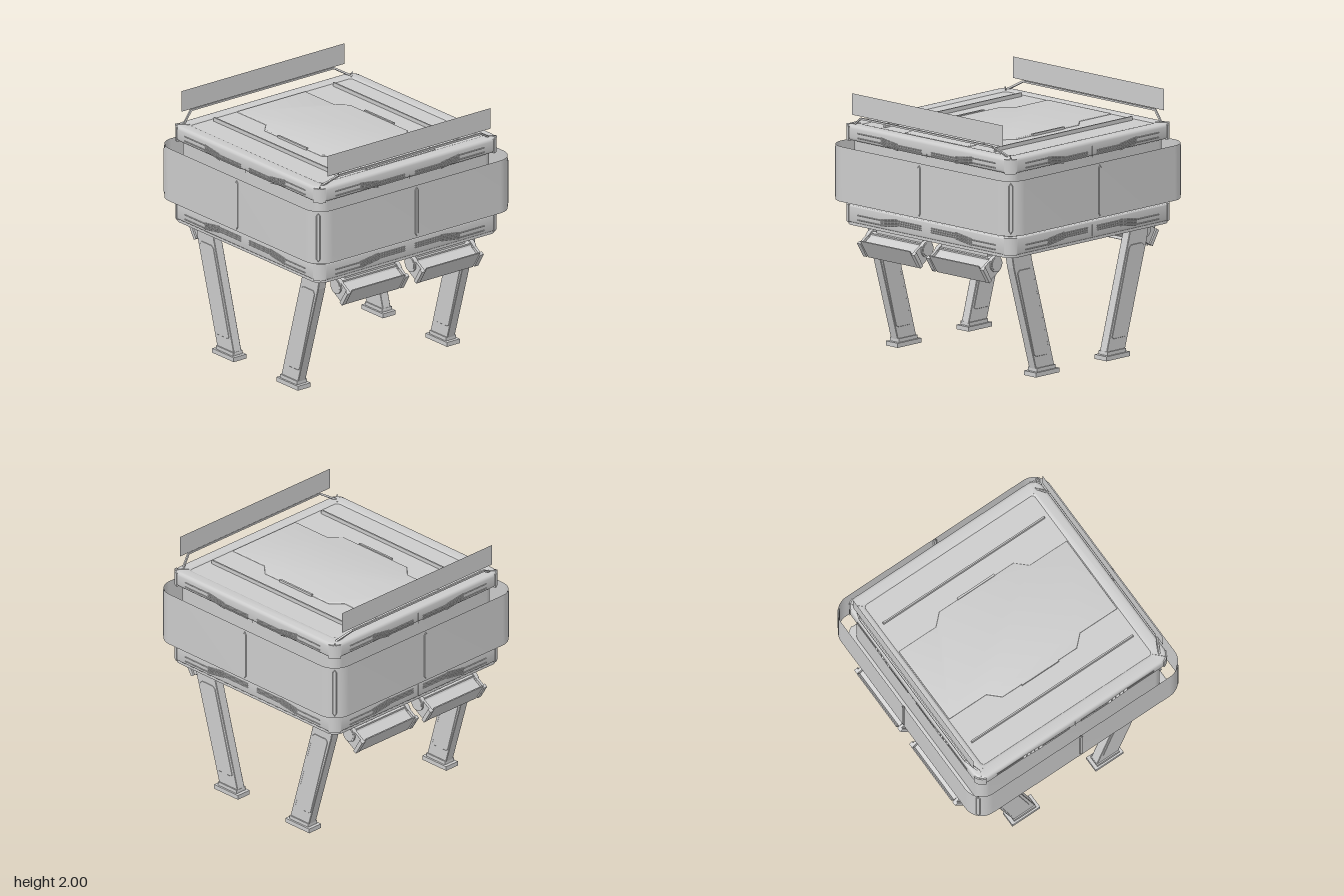
import * as THREE from 'three';
import { toCreasedNormals } from 'three/addons/utils/BufferGeometryUtils.js';

const grey = new THREE.MeshStandardMaterial({ color: 0xcccccc });
const thin = new THREE.MeshStandardMaterial({ color: 0xcccccc, side: THREE.DoubleSide });

function add(parent, name, geometry, x = 0, y = 0, z = 0, material = grey) {
  const mesh = new THREE.Mesh(geometry, material);
  mesh.name = name;
  mesh.position.set(x, y, z);
  parent.add(mesh);
  return mesh;
}
const box = (w, h, d) => new THREE.BoxGeometry(w, h, d);
const polygon = (points, Type = THREE.Shape) => new Type(points.map(([x, y]) => new THREE.Vector2(x, y)));

// rounded square outline of half size h and corner radius r
function roundedSquare(h, r, Type = THREE.Shape) {
  const s = new Type(), c = h - r;
  s.absarc(c, c, r, 0, Math.PI / 2);
  s.absarc(-c, c, r, Math.PI / 2, Math.PI);
  s.absarc(-c, -c, r, Math.PI, Math.PI * 1.5);
  s.absarc(c, -c, r, Math.PI * 1.5, Math.PI * 2);
  s.closePath();
  return s;
}

// horizontal slab between y0 and y1
function slab(shape, y0, y1, bevel = 0) {
  const g = new THREE.ExtrudeGeometry(shape, {
    depth: y1 - y0 - 2 * bevel, curveSegments: 8, bevelEnabled: bevel > 0,
    bevelThickness: bevel, bevelSize: bevel, bevelOffset: -bevel, bevelSegments: 3,
  });
  g.rotateX(-Math.PI / 2);
  g.translate(0, y0 + bevel, 0);
  return toCreasedNormals(g, 0.6);
}
function pierced(shape, hole) {
  shape.holes.push(hole);
  return shape;
}

// side profile given as [z, y], extruded across x and centred
function profile(points, width, bevel) {
  const g = new THREE.ExtrudeGeometry(polygon(points), {
    depth: width - 2 * bevel, bevelThickness: bevel,
    bevelSize: bevel, bevelOffset: -bevel, bevelSegments: 1,
  });
  g.translate(0, 0, -width / 2 + bevel);
  g.rotateY(-Math.PI / 2);
  return g;
}

// square bar between two points
function rod(parent, name, a, b, t) {
  const p = new THREE.Vector3(...a), q = new THREE.Vector3(...b);
  const m = add(parent, name, box(t, p.distanceTo(q), t));
  m.position.copy(p).add(q).multiplyScalar(0.5);
  m.quaternion.setFromUnitVectors(new THREE.Vector3(0, 1, 0), q.sub(p).normalize());
}

const rectangle = (w, d) => [[-w, -d], [w, -d], [w, d], [-w, d]];
const footFrame = pierced(polygon(rectangle(0.062, 0.1275)), polygon(rectangle(0.035, 0.1), THREE.Path));

function makeLeg(x) {
  const leg = new THREE.Group();
  leg.name = 'leg';
  leg.position.x = x;
  add(leg, 'strut', profile([[0.28, 0.05], [0.48, 0.05], [0.72, 0.87], [0.735, 0.95], [0.735, 1.075],
    [0.53, 1.075], [0.53, 0.94], [0.52, 0.9]], 0.075, 0.004));
  add(leg, 'sidePanel', profile([[0.335, 0.165], [0.355, 0.15], [0.48, 0.15], [0.505, 0.165], [0.685, 0.825],
    [0.665, 0.85], [0.545, 0.85], [0.52, 0.83]], 0.08, 0.005));
  add(leg, 'ankle', box(0.095, 0.05, 0.2), 0, 0.038, 0.382);
  add(leg, 'foot', slab(footFrame, 0, 0.035), 0, 0, 0.382);
  return leg;
}

function makeLamp(x) {
  const lamp = new THREE.Group();
  lamp.name = 'floodLamp';
  lamp.position.x = x;
  add(lamp, 'mount', box(0.48, 0.05, 0.1), -0.02 * Math.sign(x), 0.965, 0.77);
  add(lamp, 'mountLip', box(0.54, 0.02, 0.1), 0, 0.935, 0.79);
  const barrel = new THREE.CylinderGeometry(0.05, 0.05, 0.6, 24).rotateZ(Math.PI / 2);
  add(lamp, 'barrel', barrel, 0, 0.902, 0.802);
  // tilted head: local z points outward and down
  const head = new THREE.Group();
  head.name = 'lampHead';
  head.position.set(0, 0.861, 0.853);
  head.rotation.x = 0.55;
  lamp.add(head);
  add(head, 'housing', box(0.515, 0.1, 0.115));
  add(head, 'lens', box(0.515, 0.16, 0.008), 0, 0.008, 0.062);
  for (const s of [-1, 1]) {
    add(head, 'endBracket', box(0.022, 0.13, 0.145), s * 0.275, 0, 0);
    add(head, 'bracketRib', box(0.014, 0.13, 0.03), s * 0.293, 0, 0.058);
    const cap = new THREE.CylinderGeometry(0.062, 0.062, 0.035, 24).rotateZ(Math.PI / 2);
    add(lamp, 'pivotCap', cap, s * 0.28, 0.902, 0.802);
  }
  return lamp;
}

// louvres on one face of a band; slope +1 rises outward, -1 falls outward
function addLouvres(side, y, slope) {
  const louvre = (name, w, x, dy, roll = 0) =>
    add(side, name, box(w, 0.006, 0.006), x, y + dy, 0.879).rotation.set(Math.PI / 4, 0, roll, 'ZXY');
  for (const s of [-1, 1]) {
    for (let i = -1; i <= 1; i++) {
      louvre('innerLouvre', 0.25, s * 0.175, -slope * 0.012 + i * 0.016);
      if (i) louvre('outerLouvre', 0.24, s * 0.6, slope * 0.012 + i * 0.018);
    }
    for (let row = -2; row <= 2; row++) for (let t = -2; t <= 2; t++)
      louvre('ventTooth', 0.03, s * (0.39 + t * 0.036), slope * t * 0.005 + row * 0.0115, s * slope * 0.14);
  }
  add(side, 'bandSeam', box(0.003, 0.09, 0.003), 0, y, 0.879).rotation.y = Math.PI / 4;
}

export function createModel() {
  const model = new THREE.Group();
  model.name = 'raisedCabin';

  // body stack, with a chamfered recess below
  const recess = polygon([[0.78, -0.68], [0.78, 0.68], [0.68, 0.78], [-0.68, 0.78],
    [-0.78, 0.68], [-0.78, -0.68], [-0.68, -0.78], [0.68, -0.78]], THREE.Path);
  add(model, 'baseRim', slab(pierced(roundedSquare(0.87, 0.08), recess), 0.985, 1.015));
  add(model, 'lowerBand', slab(pierced(roundedSquare(0.88, 0.09), recess), 1.008, 1.14, 0.012));
  add(model, 'core', slab(roundedSquare(0.84, 0.08), 1.065, 1.65));
  add(model, 'upperBand', slab(pierced(roundedSquare(0.88, 0.09), roundedSquare(0.77, 0.02, THREE.Path)), 1.635, 1.755, 0.025));
  add(model, 'roofDeck', slab(roundedSquare(0.79, 0.02), 1.645, 1.747));

  // open outer shell
  const outline = roundedSquare(0.96, 0.15).getPoints(10);
  const wall = new THREE.BufferGeometry(), pos = [], idx = [];
  outline.forEach((p, i) => {
    pos.push(p.x, 1.175, -p.y, p.x, 1.6, -p.y);
    if (i) idx.push(2 * i - 2, 2 * i, 2 * i - 1, 2 * i, 2 * i + 1, 2 * i - 1);
  });
  wall.setAttribute('position', new THREE.Float32BufferAttribute(pos, 3));
  wall.setIndex(idx);
  add(model, 'outerShell', toCreasedNormals(wall, 0.6), 0, 0, 0, thin);

  // pointed, bevelled ribs on the shell, faces and corners
  const ribShape = polygon([[0, -0.2], [0.017, -0.175], [0.017, 0.175], [0, 0.2], [-0.017, 0.175], [-0.017, -0.175]]);
  const rib = new THREE.ExtrudeGeometry(ribShape, {
    depth: 0.004, bevelThickness: 0.006, bevelSize: 0.006, bevelOffset: -0.006, bevelSegments: 1,
  });
  const cornerGuard = new THREE.Shape();
  cornerGuard.absarc(0.79, 0.79, 0.095, 0.25, Math.PI / 2 - 0.25);
  cornerGuard.absarc(0.79, 0.79, 0.07, Math.PI / 2 - 0.25, 0.25, true);
  for (let i = 0; i < 4; i++) {
    const side = new THREE.Group();
    side.name = 'bodySide';
    side.rotation.y = i * Math.PI / 2;
    model.add(side);
    add(side, 'shellRib', rib, 0, 1.388, 0.955);
    add(side, 'cornerRib', rib, 0.912, 1.388, 0.912).rotation.y = Math.PI / 4;
    addLouvres(side, 1.672, 1);
    addLouvres(side, 1.066, -1);
    add(side, 'lowerCornerGuard', slab(cornerGuard, 1.005, 1.14));
    add(side, 'upperCornerGuard', slab(cornerGuard, 1.633, 1.745));
    add(side, 'roofCornerSeam', box(0.01, 0.012, 0.11), 0.82, 1.753, 0.82).rotation.y = Math.PI / 4;
  }

  // roof hatch, rails and grips
  const half = [[0.33, 0.77], [0.33, 0.43], [0.415, 0.34]];
  const right = [...half, ...half.map(([x, z]) => [x, -z]).reverse()];
  const hatch = polygon([...right, ...right.map(([x, z]) => [-x, z]).reverse()]);
  add(model, 'roofHatch', slab(hatch, 1.735, 1.757, 0.009));
  for (const s of [-1, 1]) {
    add(model, 'roofRail', box(0.012, 0.035, 1.48), s * 0.578, 1.76, 0);
    add(model, 'hatchGrip', box(0.016, 0.02, 0.34), s * 0.418, 1.755, 0);
  }

  // keel beam across the recess
  add(model, 'keelBeam', box(0.18, 0.085, 1.57), 0, 1.03, 0);

  // front and back: legs, lamps, sign board and its frame
  for (let i = 0; i < 2; i++) {
    const end = new THREE.Group();
    end.name = i ? 'backEnd' : 'frontEnd';
    end.rotation.y = i * Math.PI;
    model.add(end);
    for (const s of [-1, 1]) {
      end.add(makeLeg(s * 0.722), makeLamp(s * 0.36));
      rod(end, 'boardStay', [s * 0.81, 1.75, 0.82], [s * 0.69, 1.822, 0.878], 0.014);
    }
    rod(end, 'boardRail', [-0.69, 1.822, 0.878], [0.69, 1.822, 0.878], 0.014);
    add(end, 'signBoard', new THREE.PlaneGeometry(1.58, 0.165), 0, 1.9175, 0.868, thin);
  }
  return model;
}
